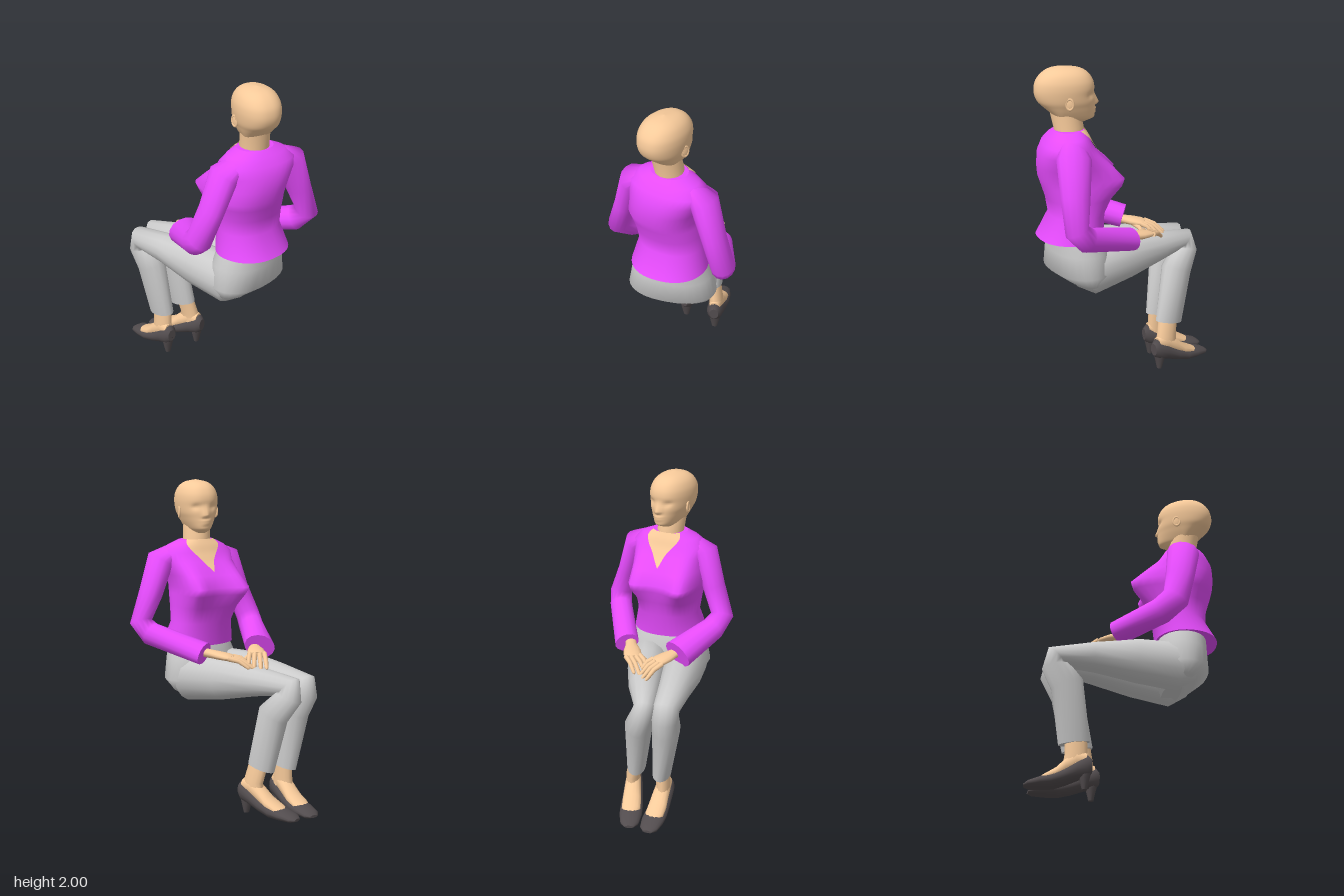
import * as THREE from 'three';

const V = (x, y, z) => new THREE.Vector3(x, y, z);
const UP = V(0, 1, 0);
const mat = (color) => new THREE.MeshStandardMaterial({ color, side: THREE.DoubleSide });
const skin = mat(0xf7ca9a), cloth = mat(0xe84cff), grey = mat(0xcccccc), dark = mat(0x524c4e);
const bell = (x, w) => Math.exp(-((x / w) ** 2));

// Skin a list of rings with smooth sides and flat end caps
function loft(name, rings, material) {
  const n = rings[0].length, pos = [], idx = [];
  const add = (p) => pos.push(p.x, p.y, p.z) / 3 - 1;
  rings.forEach((r) => r.forEach(add));
  for (let r = 0; r < rings.length - 1; r++)
    for (let i = 0; i < n; i++) {
      const a = r * n + i, b = r * n + (i + 1) % n;
      idx.push(a, b, b + n, a, b + n, a + n);
    }
  [rings[0], rings[rings.length - 1]].forEach((ring, end) => {
    const mid = ring.reduce((s, p) => s.add(p), V(0, 0, 0)).divideScalar(n);
    const c = add(mid), first = c + 1;
    ring.forEach(add);
    for (let i = 0; i < n; i++) {
      const a = first + i, b = first + (i + 1) % n;
      end ? idx.push(c, a, b) : idx.push(c, b, a);
    }
  });
  return surface(name, pos, idx, material);
}

function surface(name, pos, idx, material) {
  const g = new THREE.BufferGeometry();
  g.setAttribute('position', new THREE.Float32BufferAttribute(pos, 3));
  g.setIndex(idx);
  g.computeVertexNormals();
  const m = new THREE.Mesh(g, material);
  m.name = name;
  return m;
}

// Limb along a path; rows are [x, y, z, half width along ref, other half width]
function limb(name, rows, ref, material, segs = 14) {
  const pts = rows.map((r) => V(r[0], r[1], r[2]));
  const edges = pts.slice(1).map((p, i) => p.clone().sub(pts[i]).normalize());
  const side = V(...ref);
  const rings = rows.map((r, k) => {
    const t = (edges[k - 1] || edges[k]).clone().add(edges[k] || edges[k - 1]).normalize();
    side.addScaledVector(t, -side.dot(t)).normalize();
    const other = t.clone().cross(side);
    return Array.from({ length: segs }, (_, i) => {
      const a = (i / segs) * Math.PI * 2;
      return pts[k].clone().addScaledVector(side, r[3] * Math.cos(a)).addScaledVector(other, r[4] * Math.sin(a));
    });
  });
  return loft(name, rings, material);
}

// Point at angle a of a horizontal body section; a = 0 is the front
function section([y, cx, cz, front, back, w, yaw, bust = 0], a) {
  const q = yaw * Math.PI / 180, c = Math.cos(a), s = Math.sin(a);
  const left = bust * bell(a - 0.65, 0.56), right = bust * bell(a + 0.65, 0.56);
  const f = (c > 0 ? front : back) * c + left + right;
  const l = w * Math.sign(s) * Math.abs(s) ** 0.85 + 0.2 * (left - right);
  return V(cx - Math.cos(q) * f - Math.sin(q) * l, y, cz - Math.sin(q) * f + Math.cos(q) * l);
}
const ringOf = (row, n, fn = section) =>
  Array.from({ length: n }, (_, i) => fn(row, (i / n) * 2 * Math.PI - Math.PI));

// Jacket body: y, centre x, centre z, front, back, half width, yaw, bust
const torso = [
  [0.98, 0.37, 0.005, 0.18, 0.205, 0.23, 6], [1.12, 0.34, 0, 0.165, 0.16, 0.198, 10],
  [1.22, 0.345, 0.01, 0.18, 0.17, 0.203, 14, 0.045], [1.3, 0.357, 0.025, 0.18, 0.18, 0.21, 17, 0.13],
  [1.345, 0.363, 0.035, 0.18, 0.185, 0.215, 17, 0.155], [1.42, 0.375, 0.02, 0.18, 0.185, 0.218, 17, 0.09],
  [1.5, 0.39, 0.005, 0.165, 0.17, 0.235, 17, 0.02], [1.555, 0.39, 0, 0.14, 0.145, 0.245, 17],
  [1.6, 0.385, 0, 0.115, 0.115, 0.185, 17], [1.632, 0.38, 0, 0.09, 0.085, 0.112, 17],
];
function torsoPoint(y, a) {
  let k = 0;
  while (k < torso.length - 2 && torso[k + 1][0] < y) k++;
  const t = (y - torso[k][0]) / (torso[k + 1][0] - torso[k][0]);
  return section(torso[k], a).lerp(section(torso[k + 1], a), t);
}

// Bare chest inside the V neckline
function neckline() {
  const N = 14, pos = [], idx = [];
  for (let j = 0; j <= N; j++)
    for (let i = 0; i <= N; i++) {
      const t = j / N, a = (i / N * 2 - 1) * (0.32 * t + 0.65 * t ** 4);
      const p = torsoPoint(1.44 + 0.194 * t, a).add(V(-0.006, 0.002, -0.002));
      pos.push(p.x, p.y, p.z);
      if (i < N && j < N) {
        const b = j * (N + 1) + i, d = b + N + 1;
        idx.push(b, b + 1, d + 1, b, d + 1, d);
      }
    }
  return surface('neckline', pos, idx, skin);
}

// Head: y, front, back, half width; sculpted with sockets, nose, lips
function head() {
  const yaw = 24, q = yaw * Math.PI / 180;
  const rows = [
    [1.668, 0.1, 0.0, 0.045], [1.69, 0.16, 0.025, 0.062], [1.705, 0.18, 0.045, 0.074], [1.74, 0.182, 0.085, 0.093],
    [1.77, 0.182, 0.12, 0.106], [1.8, 0.182, 0.15, 0.118], [1.84, 0.178, 0.166, 0.125],
    [1.88, 0.182, 0.167, 0.127], [1.92, 0.173, 0.155, 0.121], [1.96, 0.145, 0.122, 0.1],
    [1.987, 0.095, 0.075, 0.062], [2.0, 0.005, 0.005, 0.005],
  ];
  const rings = [];
  for (let k = 0; k < rows.length - 1; k++)
    for (let j = 0; j < (k === rows.length - 2 ? 5 : 4); j++) {
      const t = j / 4, p = [-1, 0, 1, 2].map((o) => rows[Math.min(Math.max(k + o, 0), rows.length - 1)]);
      const row = rows[0].map((_, c) => {
        const [a, b, d, e] = p.map((r) => r[c]);
        return b + 0.5 * t * (d - a + t * (2 * a - 5 * b + 4 * d - e + t * (3 * (b - d) + e - a)));
      });
      const y = row[0];
      rings.push(ringOf(row, 56, (r, a) => {
        const nose = y < 1.785 ? bell(y - 1.785, 0.012) : Math.max(0, 1 - (y - 1.785) / 0.07);
        const lips = bell(y - 1.752, 0.008) + bell(y - 1.735, 0.007);
        const face = 0.025 * nose * bell(a, 0.13) + 0.009 * lips * bell(a, 0.25)
          - 0.012 * bell(Math.abs(a) - 0.42, 0.2) * bell(y - 1.838, 0.016);
        return section([y, 0.4, 0.02, r[1], r[2], r[3], yaw], a).add(
          V(-Math.cos(q), 0, -Math.sin(q)).multiplyScalar(face));
      }));
    }
  const g = new THREE.Group();
  g.name = 'head';
  g.add(loft('skull', rings, skin));
  for (const s of [-1, 1]) {
    const ear = new THREE.Group();
    ear.name = s > 0 ? 'leftEar' : 'rightEar';
    const rim = new THREE.Mesh(new THREE.TorusGeometry(0.021, 0.006, 8, 18), skin);
    const bowl = new THREE.Mesh(new THREE.SphereGeometry(0.021, 12, 8), skin);
    rim.scale.y = bowl.scale.y = 1.45;
    bowl.scale.z = 0.25;
    ear.add(rim, bowl);
    ear.position.copy(section([1.8, 0.4, 0.02, 0.19, 0.155, 0.122, yaw], s * 1.4));
    ear.rotation.y = -q + s * 0.25;
    g.add(ear);
  }
  return g;
}

// Hand: wrist, knuckle centre, sideways step between fingers, fingertips, thumb tip
function hand(name, wrist, knuckle, step, tips, thumb) {
  const g = new THREE.Group(), w = V(...wrist), k = V(...knuckle), s = V(...step);
  const at = (t) => w.clone().lerp(k, t).toArray();
  g.name = name;
  g.add(limb('palm', [[...at(-0.3), 0.035, 0.028], [...at(0.1), 0.036, 0.026], [...at(0.5), 0.052, 0.025],
    [...at(0.9), 0.056, 0.022], [...at(1.1), 0.046, 0.013]], step, skin));
  tips.forEach((tip, i) => {
    const b = k.clone().addScaledVector(s, i - 1.5), e = V(...tip);
    const m = b.clone().lerp(e, 0.5).add(V(0, 0.015, 0));
    g.add(limb('finger', [[...b.toArray(), 0.016, 0.016], [...m.toArray(), 0.015, 0.014],
      [...e.clone().lerp(m, 0.15).toArray(), 0.012, 0.011], [...e.toArray(), 0.005, 0.005]], step, skin, 8));
  });
  g.add(limb('thumb', [[...at(0.35), 0.022, 0.02],
    [...V(...at(0.75)).lerp(V(...thumb), 0.55).toArray(), 0.018, 0.016], [...thumb, 0.008, 0.008]], step, skin, 8));
  return g;
}

// Pump with heel, instep and ankle, laid from toe to heel on the ground
function foot(name, toe, heel, ankle) {
  const g = new THREE.Group(), A = V(toe[0], 0, toe[1]), B = V(heel[0], 0, heel[1]);
  const side = UP.clone().cross(B.clone().sub(A).normalize());
  const rings = (rows) => rows.map(([u, lo, hi, w]) => Array.from({ length: 16 }, (_, i) => {
    const a = (i / 16) * 2 * Math.PI;
    return A.clone().lerp(B, u).addScaledVector(side, w * Math.cos(a))
      .addScaledVector(UP, (lo + hi) / 2 + (hi - lo) / 2 * Math.sin(a));
  }));
  g.name = name;
  g.add(loft('shoe', rings([[0, 0.018, 0.035, 0.03], [0.07, 0.008, 0.055, 0.056], [0.25, 0.006, 0.08, 0.07],
    [0.42, 0.008, 0.095, 0.07], [0.6, 0.028, 0.125, 0.064], [0.8, 0.058, 0.175, 0.058],
    [0.94, 0.07, 0.205, 0.05], [1, 0.1, 0.18, 0.03]]), dark));
  g.add(loft('instep', rings([[0.2, 0.04, 0.07, 0.035], [0.32, 0.04, 0.097, 0.058], [0.48, 0.05, 0.135, 0.058],
    [0.62, 0.08, 0.19, 0.052], [0.78, 0.11, 0.235, 0.046], [0.93, 0.14, 0.215, 0.036]]), skin));
  const h = A.clone().lerp(B, 0.9), tip = A.clone().lerp(B, 0.89);
  g.add(limb('heel', [[h.x, 0.13, h.z, 0.042, 0.045], [h.x - 0.005, 0.065, h.z, 0.03, 0.034],
    [tip.x, 0, tip.z, 0.015, 0.019]], [1, 0, 0], dark, 10));
  const m = A.clone().lerp(B, 0.76);
  g.add(limb('ankle', [[m.x, 0.15, m.z, 0.075, 0.045], [m.x, 0.21, m.z, 0.067, 0.044],
    [...ankle, 0.065, 0.044]], [1, 0, 0], skin));
  return g;
}

export function createModel() {
  const g = new THREE.Group();
  g.name = 'seatedWoman';
  const Z = [0, 0, 1], X = [1, 0, 0];

  // Jacket
  g.add(loft('jacketBody', torso.map((r) => ringOf(r, 40)), cloth), neckline());
  g.add(limb('leftSleeve', [[0.37, 1.568, 0.155, 0.07, 0.035], [0.337, 1.508, 0.228, 0.1, 0.076],
    [0.3, 1.3, 0.29, 0.088, 0.067], [0.26, 1.125, 0.35, 0.085, 0.07], [0.18, 1.06, 0.3, 0.082, 0.075],
    [-0.058, 0.982, 0.12, 0.074, 0.1]], X, cloth));
  g.add(limb('rightSleeve', [[0.43, 1.568, -0.155, 0.07, 0.035], [0.463, 1.508, -0.228, 0.105, 0.076],
    [0.49, 1.3, -0.29, 0.088, 0.067], [0.515, 1.13, -0.35, 0.072, 0.07], [0.44, 1.06, -0.335, 0.078, 0.07],
    [0.085, 0.965, -0.225, 0.062, 0.077]], X, cloth));

  // Head, neck and hands
  g.add(head());
  g.add(limb('neck', [[0.375, 1.57, 0, 0.09, 0.09], [0.375, 1.64, 0.002, 0.088, 0.083],
    [0.395, 1.76, 0.02, 0.088, 0.083]], X, skin, 20));
  g.add(hand('leftHand', [-0.03, 0.975, 0.1], [-0.135, 0.962, 0.01], [-0.02, 0, 0.022],
    [[-0.155, 0.91, -0.085], [-0.2, 0.892, -0.085], [-0.24, 0.887, -0.068], [-0.262, 0.89, -0.04]],
    [-0.085, 0.92, -0.07]));
  g.add(hand('rightHand', [0.07, 0.965, -0.195], [-0.07, 0.952, -0.155], [-0.012, 0, -0.026],
    [[-0.125, 0.905, -0.05], [-0.165, 0.895, -0.06], [-0.2, 0.89, -0.085], [-0.195, 0.895, -0.12]],
    [-0.05, 0.925, -0.075]));

  // Trousers
  g.add(loft('trouserSeat', [
    [0.65, 0.31, 0, 0.08, 0.03, 0.15, 0], [0.7, 0.33, 0, 0.13, 0.09, 0.23, 0], [0.77, 0.34, 0, 0.18, 0.17, 0.27, 0],
    [0.9, 0.34, 0, 0.17, 0.167, 0.246, 2], [1.0, 0.36, 0, 0.15, 0.145, 0.21, 4],
  ].map((r) => ringOf(r, 28)), grey));
  g.add(limb('leftTrouserLeg', [[0.44, 0.775, 0.11, 0.04, 0.03], [0.4, 0.77, 0.115, 0.09, 0.08],
    [0.31, 0.78, 0.125, 0.135, 0.153], [0.06, 0.8, 0.13, 0.125, 0.138], [-0.2, 0.81, 0.125, 0.1, 0.092],
    [-0.418, 0.8, 0.115, 0.08, 0.08], [-0.425, 0.74, 0.11, 0.084, 0.085], [-0.355, 0.63, 0.105, 0.085, 0.1],
    [-0.305, 0.28, 0.07, 0.056, 0.095]], Z, grey));
  g.add(limb('rightTrouserLeg', [[0.44, 0.775, -0.11, 0.04, 0.03], [0.4, 0.77, -0.115, 0.09, 0.08],
    [0.31, 0.78, -0.125, 0.135, 0.153], [0.06, 0.8, -0.09, 0.125, 0.138], [-0.2, 0.81, -0.055, 0.1, 0.092],
    [-0.418, 0.8, -0.015, 0.066, 0.08], [-0.425, 0.74, -0.028, 0.075, 0.085], [-0.34, 0.63, -0.067, 0.085, 0.1],
    [-0.27, 0.295, -0.097, 0.058, 0.095]], Z, grey));

  // Feet
  g.add(foot('leftFoot', [-0.585, 0.028], [-0.2, 0.092], [-0.295, 0.34, 0.072]));
  g.add(foot('rightFoot', [-0.555, -0.09], [-0.135, -0.137], [-0.26, 0.34, -0.1]));
  return g;
}
